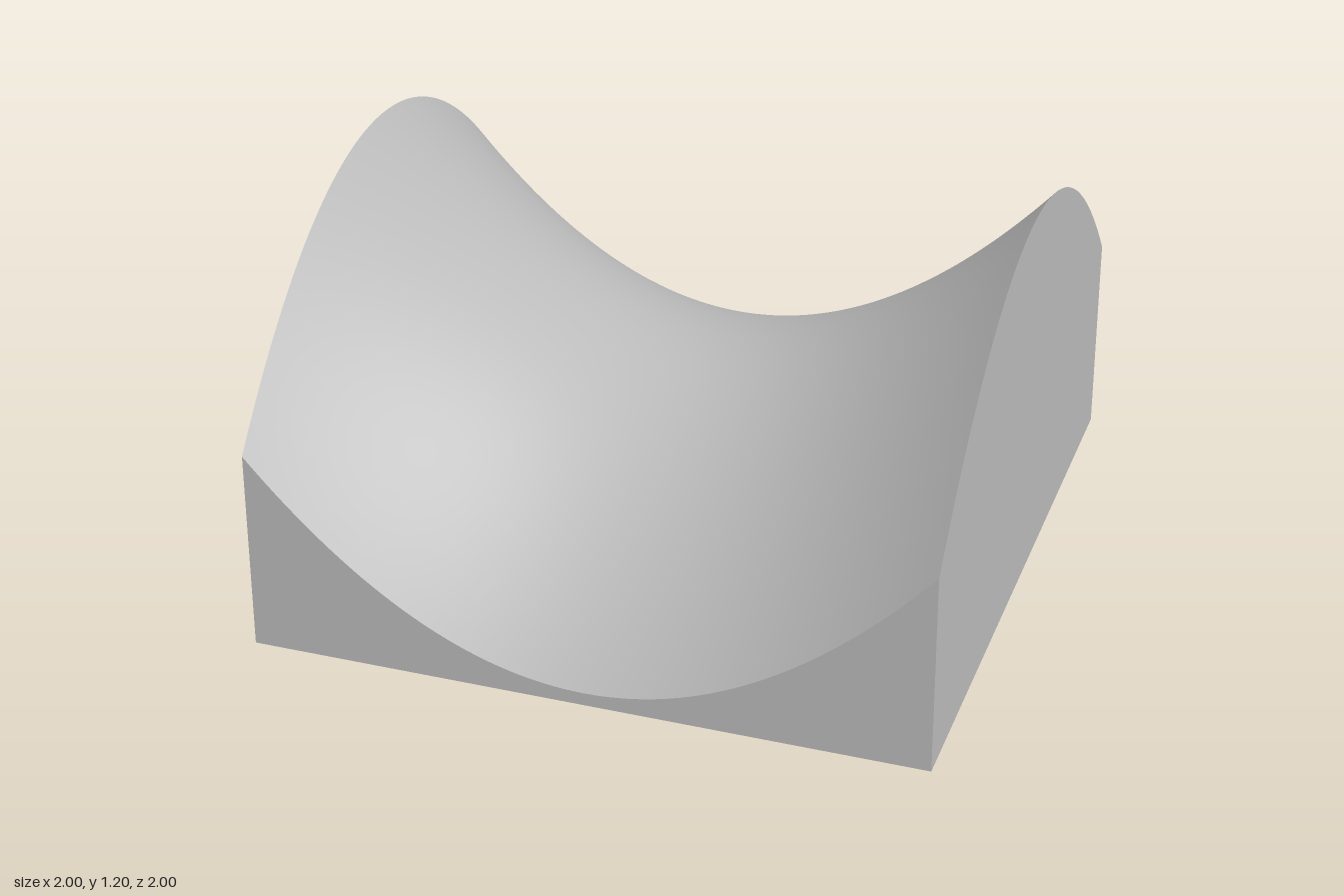
import * as THREE from 'three';

const SIZE = 2;
const SEGMENTS = 64;
const MID_HEIGHT = 0.62; // height at the saddle point
const RISE = 0.58;       // rise along x, fall along z

const saddleHeight = (x, z) => MID_HEIGHT + RISE * (x * x - z * z);

export function createModel() {
  const group = new THREE.Group();
  group.name = 'saddleSurfaceBlock';

  const grey = new THREE.MeshStandardMaterial({ color: 0xbbbbbb });
  grey.name = 'light grey';

  // Block with a flat base; its upper vertices follow the hyperbolic paraboloid
  const geometry = new THREE.BoxGeometry(SIZE, 1, SIZE, SEGMENTS, 1, SEGMENTS);
  const position = geometry.attributes.position;
  for (let i = 0; i < position.count; i++) {
    const isTop = position.getY(i) > 0;
    position.setY(i, isTop ? saddleHeight(position.getX(i), position.getZ(i)) : 0);
  }
  // Faces do not share vertices, so the rim stays sharp and the saddle smooth
  geometry.computeVertexNormals();

  const block = new THREE.Mesh(geometry, grey);
  block.name = 'saddleBlock';
  group.add(block);
  return group;
}
